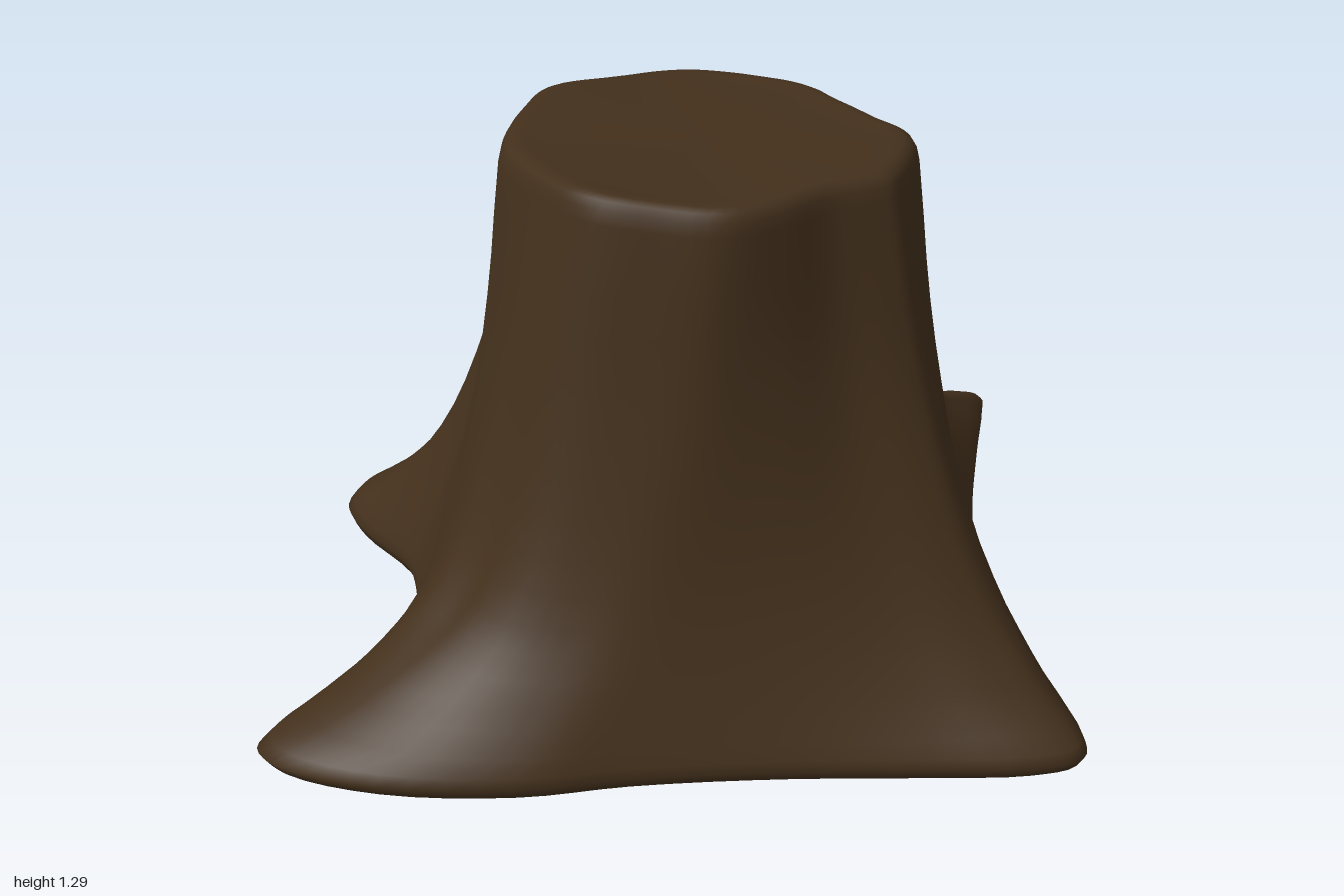
import * as THREE from 'three';

// Matching plan outlines [x, z]: root spread at the ground, and the cut rim above it
const GROUND = [
  [-0.64, 0.1], [-0.63, -0.06], [-0.65, -0.18], [-0.76, -0.38], [-0.79, -0.5], [-0.73, -0.62],
  [-0.6, -0.69], [-0.32, -0.73], [-0.1, -0.68], [0.1, -0.59], [0.3, -0.545], [0.58, -0.63],
  [0.78, -0.77], [0.95, -0.88], [0.998, -0.86], [0.98, -0.77], [0.91, -0.55], [0.81, -0.2],
  [0.77, 0.08], [0.76, 0.3], [0.775, 0.55], [0.815, 0.77], [0.79, 0.86], [0.68, 0.88],
  [0.45, 0.85], [0.15, 0.81], [-0.2, 0.79], [-0.45, 0.8], [-0.75, 0.755], [-0.95, 0.66],
  [-1, 0.58], [-0.95, 0.49], [-0.8, 0.34], [-0.69, 0.2],
];
const RIM = [
  [-0.38, 0.12], [-0.36, 0], [-0.32, -0.1], [-0.285, -0.17], [-0.25, -0.205], [-0.2, -0.23],
  [-0.15, -0.25], [-0.08, -0.28], [0, -0.31], [0.08, -0.315], [0.17, -0.285], [0.25, -0.24],
  [0.315, -0.195], [0.355, -0.145], [0.37, -0.11], [0.385, -0.075], [0.415, -0.015], [0.455, 0.07],
  [0.49, 0.13], [0.5, 0.2], [0.46, 0.31], [0.43, 0.37], [0.4, 0.41], [0.35, 0.43],
  [0.26, 0.46], [0.15, 0.53], [0.03, 0.57], [-0.1, 0.54], [-0.21, 0.5], [-0.265, 0.45],
  [-0.295, 0.4], [-0.32, 0.34], [-0.345, 0.27], [-0.365, 0.2],
];

// Rows from underside centre to top centre:
// height, spread of long roots, spread of the hollows between, scale about the centre
const ROWS = [
  [0.002, 1, 1, 0], [0.002, 1, 1, 0.5], [0.002, 1, 1, 0.86], [0.009, 1, 1, 0.94],
  [0.025, 1, 1, 0.985], [0.05, 1, 1, 1], [0.075, 0.96, 0.98, 1], [0.11, 0.86, 0.94, 1],
  [0.16, 0.73, 0.88, 1], [0.2, 0.64, 0.83, 1], [0.25, 0.54, 0.77, 1], [0.3, 0.45, 0.71, 1],
  [0.36, 0.38, 0.64, 1], [0.43, 0.325, 0.56, 1], [0.51, 0.27, 0.475, 1.005],
  [0.6, 0.22, 0.39, 1.01], [0.7, 0.17, 0.3, 1.02], [0.8, 0.13, 0.225, 1.025],
  [0.9, 0.095, 0.16, 1.03], [1, 0.065, 0.105, 1.035], [1.1, 0.035, 0.06, 1.04],
  [1.22, 0, 0.01, 1.04], [1.25, 0, 0, 1.03], [1.268, 0, 0, 1.005], [1.276, 0, 0, 0.965],
  [1.276, 0, 0, 0.91], [1.27, 0, 0, 0.8], [1.266, 0, 0, 0.4], [1.266, 0, 0, 0],
];
const SEGMENTS = 136;
const CENTRE = { x: 0.06, z: 0.12 };

const loop = (pts) => {
  const curve = new THREE.CatmullRomCurve3(pts.map(([x, z]) => new THREE.Vector3(x, 0, z)), true);
  return Array.from({ length: SEGMENTS }, (_, j) => curve.getPoint(j / SEGMENTS));
};

// Average of a ring of values over its neighbours, so ridges fade into hollows
function smoothRing(values, reach) {
  return values.map((_, j) => {
    let sum = 0;
    for (let k = -reach; k <= reach; k++) sum += values[(j + k + SEGMENTS) % SEGMENTS];
    return sum / (2 * reach + 1);
  });
}

function stumpGeometry() {
  const ground = loop(GROUND);
  const rim = loop(RIM);
  // The front root on the -x side is the leanest, the others keep more body
  const rooty = smoothRing(ground.map((low, j) => {
    const gain = low.x < 0 && low.z > 0 ? 1.2 : 0.62;
    return gain * THREE.MathUtils.smoothstep(low.distanceTo(rim[j]), 0.28, 0.7);
  }), 6);
  const positions = [];
  const indices = [];

  ROWS.forEach(([height, rootSpread, hollowSpread, scale], row) => {
    for (let j = 0; j < SEGMENTS; j++) {
      // Long roots flare out late, hollows slope evenly
      const spread = THREE.MathUtils.lerp(hollowSpread, rootSpread, rooty[j]);
      const p = rim[j].clone().lerp(ground[j], spread);
      const x = CENTRE.x + (p.x - CENTRE.x) * scale;
      const z = CENTRE.z + (p.z - CENTRE.z) * scale;

      // Root tips lift slightly; the rim has two shallow bumps
      let y = height;
      if (height < 0.12) y += 0.012 * THREE.MathUtils.smoothstep(Math.hypot(x, z), 0.8, 1.25);
      if (height > 1.2) y += 0.016 * Math.exp(-40 * (x + 0.25) ** 2) * Math.min(1, Math.abs(z - 0.13) / 0.33);
      positions.push(x, y, z);

      if (row > 0) {
        const k = (j + 1) % SEGMENTS;
        const a = (row - 1) * SEGMENTS + j, b = (row - 1) * SEGMENTS + k;
        const c = row * SEGMENTS + j, d = row * SEGMENTS + k;
        indices.push(a, c, b, b, c, d);
      }
    }
  });

  const geometry = new THREE.BufferGeometry();
  geometry.setAttribute('position', new THREE.Float32BufferAttribute(positions, 3));
  geometry.setIndex(indices);
  geometry.computeVertexNormals();
  return geometry;
}

export function createModel() {
  const group = new THREE.Group();
  group.name = 'treeStump';
  const bark = new THREE.MeshStandardMaterial({ color: 0x43301c });
  const stump = new THREE.Mesh(stumpGeometry(), bark);
  stump.name = 'stumpWithRoots';
  group.add(stump);
  return group;
}
